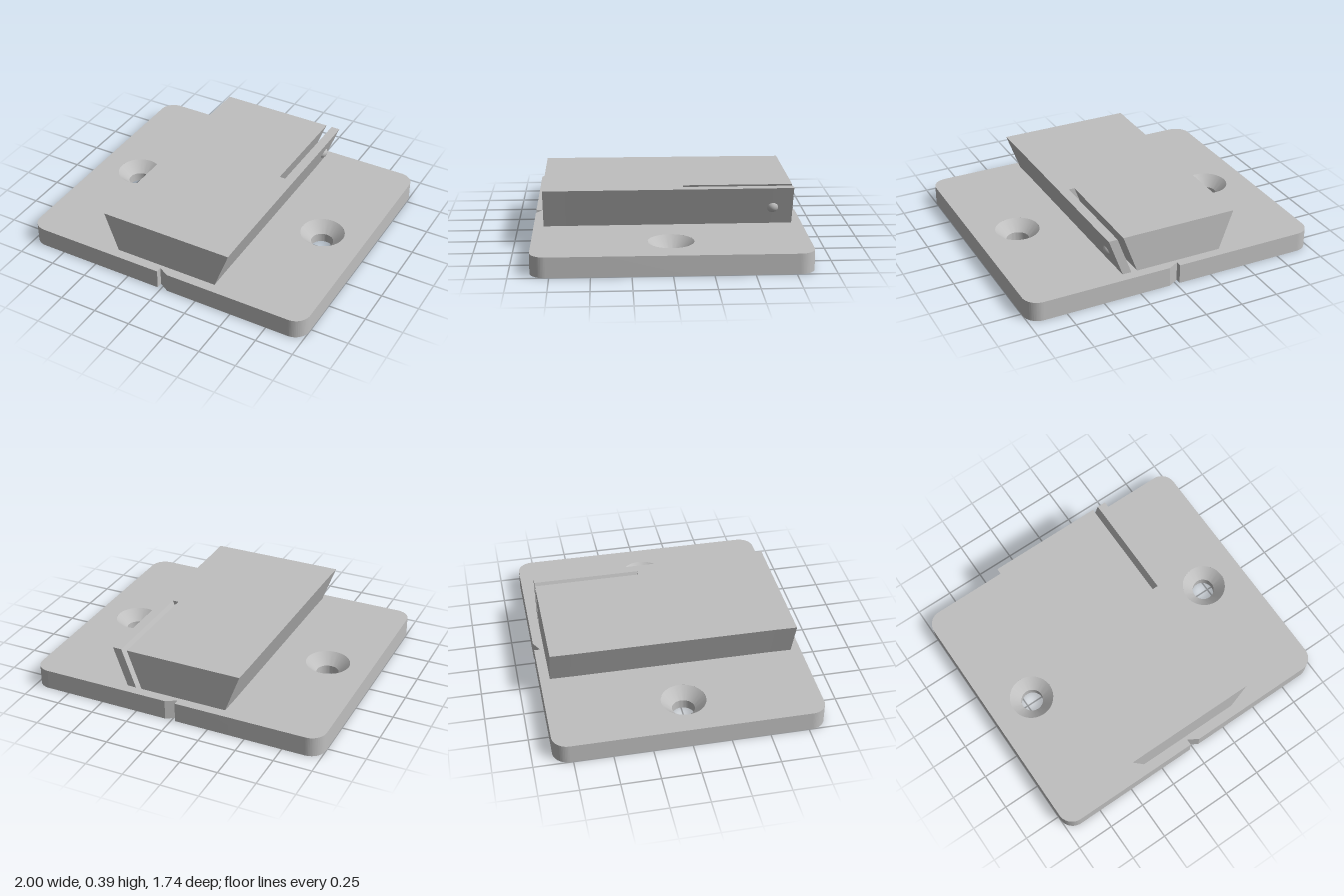
import * as THREE from 'three';
import { toCreasedNormals } from 'three/addons/utils/BufferGeometryUtils.js';

const PLATE_H = 0.13, RAIL_TOP = 0.388, HOLE_X = 0.71, SINK_R = 0.145, HOLE_R = 0.073;
const SEGMENTS = 64;

// Extrudes a plan drawn as (x, -z) upwards from y = 0
function extrudeUp(shape, height) {
  const geo = new THREE.ExtrudeGeometry(shape, { depth: height, bevelEnabled: false, curveSegments: SEGMENTS });
  return geo.rotateX(-Math.PI / 2);
}

// Rounded base outline with a small one-sided notch front and back
function plateShape() {
  const w = 1, d = 0.87, r = 0.1, s = new THREE.Shape();
  s.moveTo(-w + r, -d);
  s.lineTo(-0.025, -d);
  s.lineTo(-0.025, -d + 0.04);
  s.lineTo(0.045, -d);
  s.lineTo(w - r, -d);
  s.absarc(w - r, -d + r, r, -Math.PI / 2, 0);
  s.lineTo(w, d - r);
  s.absarc(w - r, d - r, r, 0, Math.PI / 2);
  s.lineTo(0.045, d);
  s.lineTo(-0.025, d - 0.04);
  s.lineTo(-0.025, d);
  s.lineTo(-w + r, d);
  s.absarc(-w + r, d - r, r, Math.PI / 2, Math.PI);
  s.lineTo(-w, -d + r);
  s.absarc(-w + r, -d + r, r, Math.PI, Math.PI * 1.5);
  for (const x of [-HOLE_X, HOLE_X]) {
    s.holes.push(new THREE.Path().absarc(x, 0, SINK_R, 0, Math.PI * 2, true));
  }
  return s;
}

// Dovetail rail: slotted plan, with the lower edge drawn inwards on both sides
function railGeometry() {
  const plan = [
    [-0.45, 0.805], [0.45, 0.805], [0.447, 0.66], [0.44, -0.67], [0.437, -0.805],
    [0.378, -0.805], [0.378, -0.095], [0.338, -0.095], [0.338, -0.805],
    [-0.437, -0.805], [-0.44, -0.67], [-0.447, 0.66],
  ];
  const shape = new THREE.Shape(plan.map(([x, z]) => new THREE.Vector2(x, -z)));
  const height = RAIL_TOP - PLATE_H;
  const geo = extrudeUp(shape, height);
  const p = geo.attributes.position;
  for (let i = 0; i < p.count; i++) {
    const x = p.getX(i);
    p.setX(i, x - Math.sign(x) * 0.095 * (1 - p.getY(i) / height));
  }
  geo.computeVertexNormals();
  return geo.translate(0, PLATE_H, 0);
}

export function createModel() {
  const group = new THREE.Group();
  const grey = new THREE.MeshStandardMaterial({ color: 0xbfbfbf });
  grey.name = 'plain grey';

  const add = (name, geo) => {
    const mesh = new THREE.Mesh(geo, grey);
    mesh.name = name;
    group.add(mesh);
    return mesh;
  };

  add('basePlate', toCreasedNormals(extrudeUp(plateShape(), PLATE_H), 0.5));
  add('dovetailRail', railGeometry());

  // Countersunk screw holes
  const profile = [[SINK_R, PLATE_H], [HOLE_R, 0.06], [HOLE_R, 0], [SINK_R, 0]]
    .map(([r, y]) => new THREE.Vector2(r, y));
  const sink = toCreasedNormals(new THREE.LatheGeometry(profile, SEGMENTS), 0.5);
  add('rightScrewHole', sink).position.x = -HOLE_X;
  add('leftScrewHole', sink).position.x = HOLE_X;

  // Round detent set in the springy strip beside the slot
  add('detentBall', new THREE.SphereGeometry(0.041, 32, 20)).position.set(0.369, 0.252, -0.675);

  return group;
}
